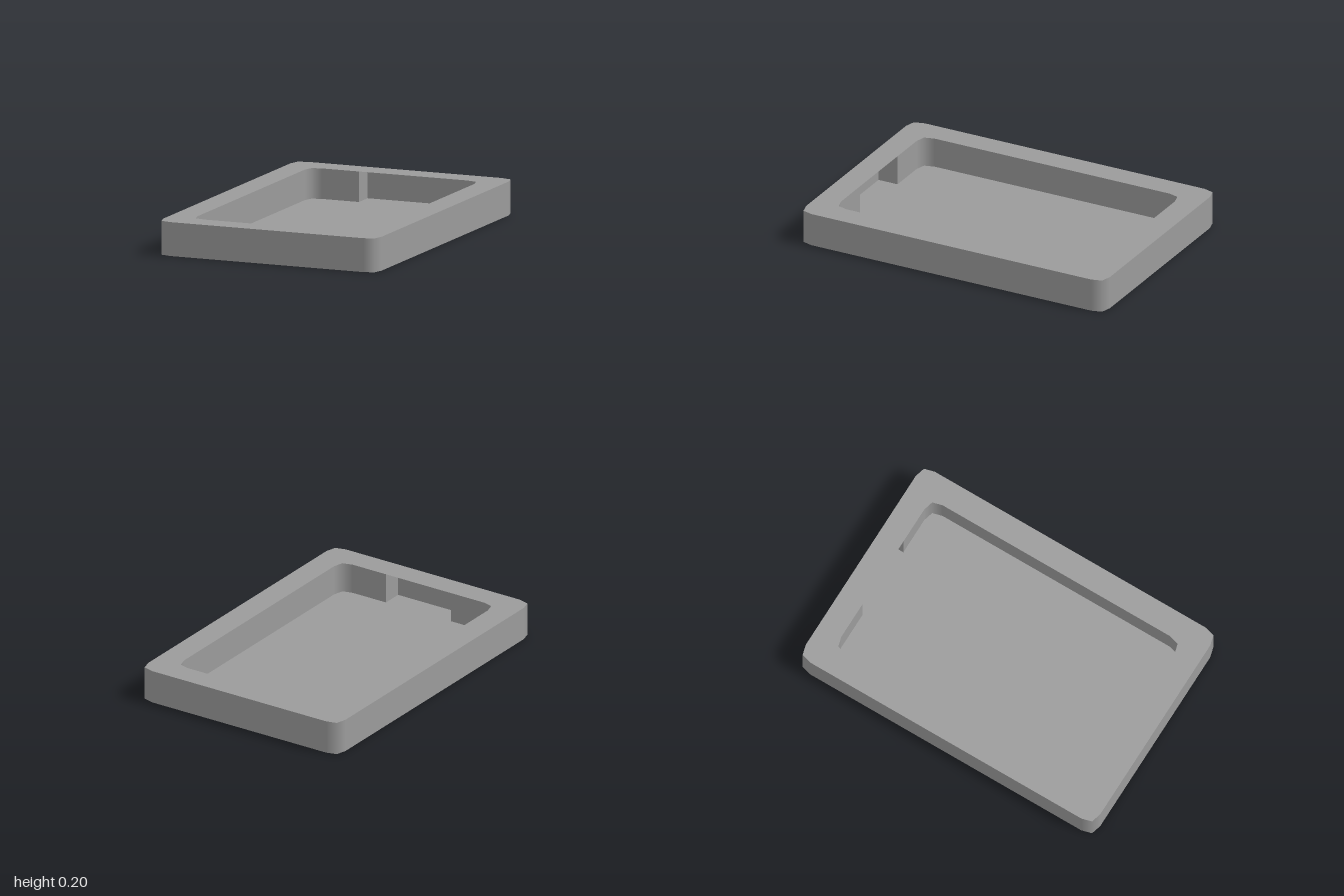
import * as THREE from 'three';

const HEIGHT = 0.2, FLOOR_Y = 0.02;
const POCKET_X = 0.227, POCKET_Z = 0.975;
const BULGE = 1.11; // pushes the middle of each corner outwards

// Rounded rectangle as [x, z, normalX, normalZ], with optional pockets in both ends
function outline(w, d, r, pockets) {
  const points = [];
  for (let k = 0; k < 4; k++) {
    const sx = k === 0 || k === 3 ? 1 : -1;
    const sz = k < 2 ? -1 : 1;
    for (let i = 0; i <= 2; i++) {
      const t = (k + i / 2) * Math.PI / 2;
      const nx = Math.cos(t), nz = -Math.sin(t);
      const reach = i === 1 ? r * BULGE : r;
      points.push([sx * (w - r) + nx * reach, sz * (d - r) + nz * reach, nx, nz]);
    }
    if (pockets && k % 2 === 0) {
      const s = k === 0 ? 1 : -1;
      const a = POCKET_X, b = POCKET_Z;
      // Doubled points keep the pocket edges sharp
      const pocket = [
        [a, -d, 0, -1], [a, -d, 1, 0], [a, -b, 1, 0], [a, -b, 0, -1],
        [-a, -b, 0, -1], [-a, -b, -1, 0], [-a, -d, -1, 0], [-a, -d, 0, -1],
      ];
      points.push(...pocket.map(p => p.map(v => v * s)));
    }
  }
  return points;
}

// Upright sheet that follows an outline
function wallGeometry(path, y0, y1, inward) {
  const points = inward ? [...path].reverse() : path;
  const s = inward ? -1 : 1;
  const n = points.length;
  const position = [], normal = [], index = [];
  points.forEach(([x, z, nx, nz], i) => {
    position.push(x, y0, z, x, y1, z);
    normal.push(nx * s, 0, nz * s, nx * s, 0, nz * s);
    const next = points[(i + 1) % n];
    if (Math.hypot(next[0] - x, next[1] - z) < 1e-6) return;
    const a = i * 2, b = ((i + 1) % n) * 2;
    index.push(a, b, b + 1, a, b + 1, a + 1);
  });
  const geometry = new THREE.BufferGeometry();
  geometry.setAttribute('position', new THREE.Float32BufferAttribute(position, 3));
  geometry.setAttribute('normal', new THREE.Float32BufferAttribute(normal, 3));
  geometry.setIndex(index);
  return geometry;
}

// Flat horizontal sheet inside an outline, with an optional opening
function sheetGeometry(path, y, hole) {
  const flat = points => points
    .filter((p, i) => i === 0 || Math.hypot(p[0] - points[i - 1][0], p[1] - points[i - 1][1]) > 1e-6)
    .map(([x, z]) => new THREE.Vector2(x, -z));
  const shape = new THREE.Shape(flat(path));
  if (hole) shape.holes.push(new THREE.Path(flat(hole)));
  return new THREE.ShapeGeometry(shape).rotateX(-Math.PI / 2).translate(0, y, 0);
}

export function createModel() {
  const group = new THREE.Group();
  group.name = 'tray';
  const material = new THREE.MeshStandardMaterial({ color: 0x9b9b9b, side: THREE.DoubleSide });
  const add = (name, geometry) => {
    const mesh = new THREE.Mesh(geometry, material);
    mesh.name = name;
    group.add(mesh);
  };

  const outer = outline(0.69, 1, 0.08, false);
  const opening = outline(0.537, 0.85, 0.077, false);
  const cavity = outline(0.537, 0.85, 0.077, true);

  // Thin shell, open underneath between the two walls
  add('outerWall', wallGeometry(outer, 0, HEIGHT, false));
  add('rim', sheetGeometry(outer, HEIGHT, opening));
  // Cavity with a pocket reaching under the rim at each end
  add('innerWall', wallGeometry(cavity, FLOOR_Y, HEIGHT, true));
  add('floor', sheetGeometry(cavity, FLOOR_Y));
  return group;
}
